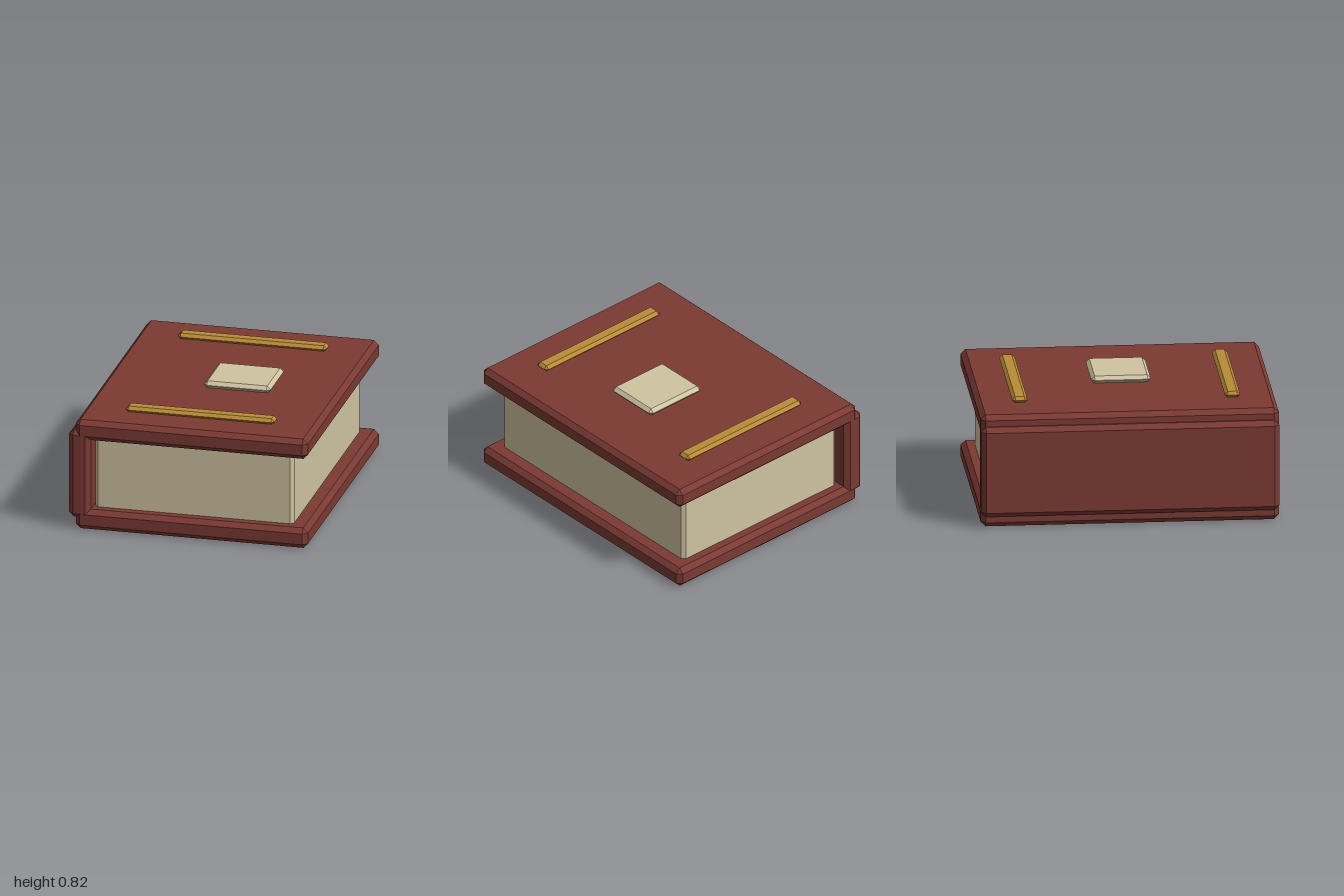
import * as THREE from 'three';
import { ConvexGeometry } from 'three/addons/geometries/ConvexGeometry.js';

// Box between two corners with every edge and corner cut flat by b
function chamferBox(name, material, [x0, x1], [y0, y1], [z0, z1], b) {
  const half = new THREE.Vector3(x1 - x0, y1 - y0, z1 - z0).multiplyScalar(0.5);
  const points = [];
  for (const sx of [-1, 1]) for (const sy of [-1, 1]) for (const sz of [-1, 1]) {
    for (let axis = 0; axis < 3; axis++) {
      const p = half.clone().subScalar(b);
      p.setComponent(axis, half.getComponent(axis));
      points.push(p.multiply(new THREE.Vector3(sx, sy, sz)));
    }
  }
  const mesh = new THREE.Mesh(new ConvexGeometry(points), material);
  mesh.name = name;
  mesh.position.set((x0 + x1) / 2, (y0 + y1) / 2, (z0 + z1) / 2);
  return mesh;
}

export function createModel() {
  const book = new THREE.Group();
  book.name = 'book';
  const paint = (color) => new THREE.MeshStandardMaterial({ color, flatShading: true });
  const leather = paint(0x7b3a33);
  const paper = paint(0xd0c5a2);
  const gold = paint(0xb98b36);

  // Covers and spine
  book.add(chamferBox('bottomCover', leather, [-0.78, 0.82], [0, 0.142], [-1, 1], 0.033));
  book.add(chamferBox('topCover', leather, [-0.78, 0.82], [0.635, 0.777], [-1, 1], 0.033));
  book.add(chamferBox('spine', leather, [-0.825, -0.675], [0.078, 0.702], [-1, 1], 0.033));

  // Page block, its top and bottom sunk into the covers
  book.add(chamferBox('pages', paper, [-0.664, 0.706], [0.105, 0.672], [-0.913, 0.913], 0.025));

  // Raised bands and plate on the top cover
  for (const [name, z] of [['frontBand', 0.713], ['backBand', -0.713]]) {
    book.add(chamferBox(name, gold, [-0.492, 0.534], [0.772, 0.815], [z - 0.052, z + 0.052], 0.021));
  }
  book.add(chamferBox('coverPlate', paper, [-0.095, 0.364], [0.774, 0.825], [-0.2, 0.2], 0.024));

  return book;
}
